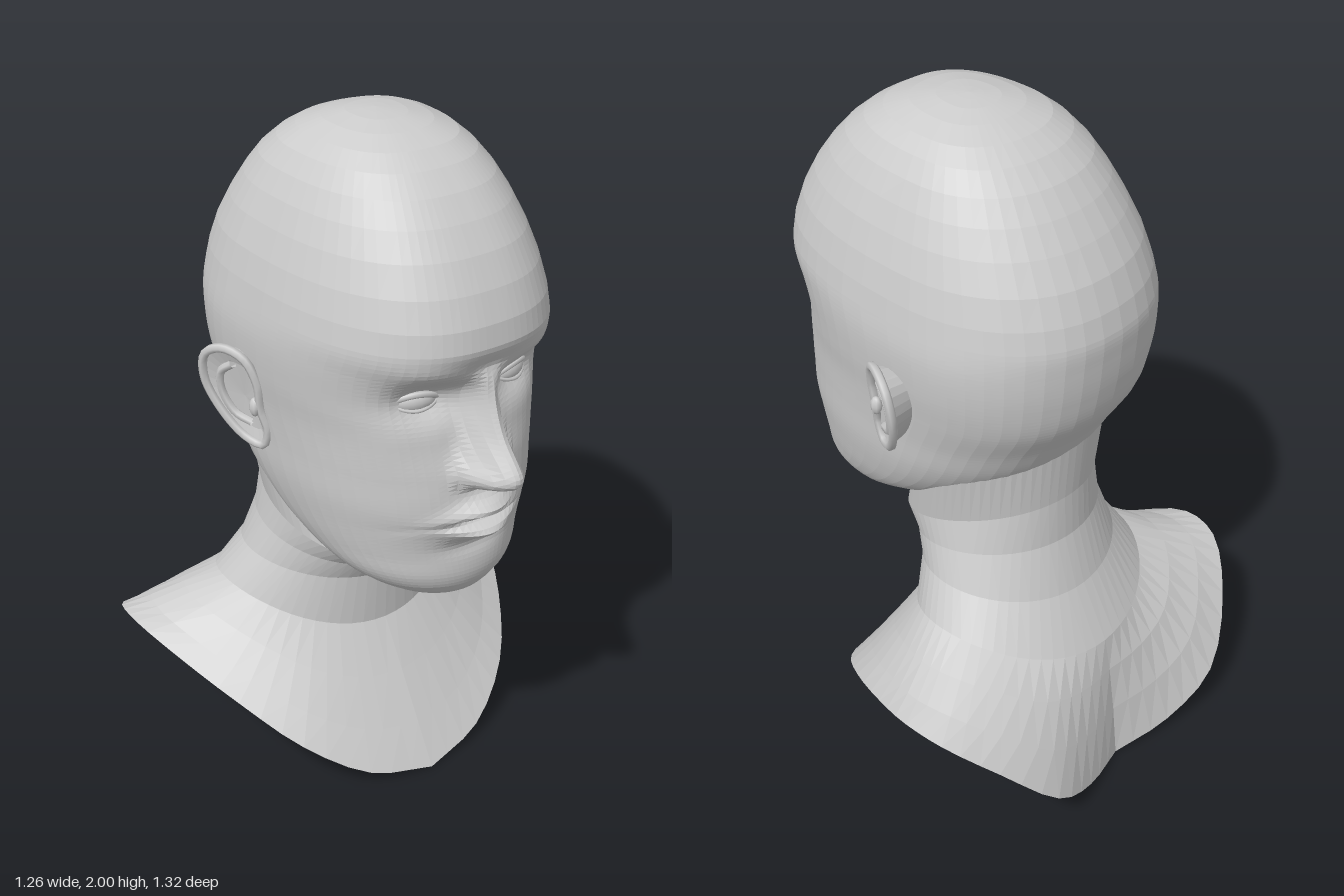
import * as THREE from 'three';

const V = (x, y, z) => new THREE.Vector3(x, y, z);
const bump = (d, s) => Math.exp(-0.5 * (d / s) ** 2);
const spow = (v, p) => Math.sign(v) * Math.abs(v) ** p;

// Skin closed rings of points into a faceted surface
function loft(rings, flip = false) {
  const pos = [];
  const tri = (a, b, c) => {
    if (a.distanceTo(b) < 1e-6 || b.distanceTo(c) < 1e-6 || a.distanceTo(c) < 1e-6) return;
    for (const p of flip ? [a, c, b] : [a, b, c]) pos.push(p.x, p.y, p.z);
  };
  for (let i = 0; i + 1 < rings.length; i++) {
    const n = rings[i].length;
    for (let j = 0; j < n; j++) {
      const k = (j + 1) % n;
      tri(rings[i][j], rings[i + 1][j], rings[i][k]);
      tri(rings[i][k], rings[i + 1][j], rings[i + 1][k]);
    }
  }
  const g = new THREE.BufferGeometry();
  g.setAttribute('position', new THREE.Float32BufferAttribute(pos, 3));
  g.computeVertexNormals();
  return g;
}

// Smooth lookup in a table of rows whose first entry falls
function lookup(rows, y) {
  let i = 0;
  while (i < rows.length - 2 && y < rows[i + 1][0]) i++;
  const a = rows[i], b = rows[i + 1], p = rows[Math.max(i - 1, 0)], q = rows[Math.min(i + 2, rows.length - 1)];
  const h = b[0] - a[0], t = Math.min(1, Math.max(0, (y - a[0]) / h));
  return a.map((v, c) => {
    const m0 = (b[c] - p[c]) / (b[0] - p[0]) * h, m1 = (q[c] - v) / (q[0] - a[0]) * h;
    const t2 = t * t, t3 = t2 * t;
    return (2 * t3 - 3 * t2 + 1) * v + (t3 - 2 * t2 + t) * m0 + (3 * t2 - 2 * t3) * b[c] + (t3 - t2) * m1;
  });
}

// Head sections: y, front z, back z, half width
const HEAD = [
  [2.0, 0.03, 0.01, 0.01], [1.994, 0.11, -0.06, 0.075], [1.98, 0.18, -0.12, 0.135], [1.95, 0.26, -0.2, 0.2],
  [1.88, 0.355, -0.3, 0.265], [1.76, 0.455, -0.4, 0.325], [1.64, 0.52, -0.475, 0.365], [1.52, 0.55, -0.515, 0.388],
  [1.44, 0.515, -0.515, 0.396], [1.34, 0.49, -0.505, 0.39], [1.24, 0.49, -0.48, 0.375], [1.14, 0.51, -0.42, 0.362],
  [1.04, 0.52, -0.36, 0.352], [0.96, 0.51, -0.28, 0.335], [0.88, 0.5, -0.16, 0.308], [0.81, 0.497, -0.02, 0.268],
  [0.76, 0.475, 0.05, 0.215], [0.725, 0.43, 0.09, 0.15], [0.705, 0.3, 0.16, 0.05],
];
// Nose sections: y, projection, half width
const NOSE = [
  [1.46, 0, 0.04], [1.38, 0.052, 0.036], [1.27, 0.1, 0.044], [1.19, 0.155, 0.056],
  [1.155, 0.148, 0.06], [1.13, 0.105, 0.06], [1.11, 0.025, 0.06], [1.095, 0, 0.06],
];

// Forward push of the facial features
function face(x, y) {
  const ax = Math.abs(x);
  let d = 0;
  if (y < 1.46 && y > 1.095) {
    const [, p, w] = lookup(NOSE, y);
    d += Math.max(0, p) * Math.exp(-((ax / w) ** 2.4));
  }
  d += 0.035 * bump(ax - 0.06, 0.018) * bump(y - 1.155, 0.022);   // nostril wings
  d -= 0.055 * bump(ax - 0.14, 0.065) * bump(y - 1.365, 0.045);   // eye sockets
  d += 0.018 * bump(ax - 0.15, 0.09) * bump(y - 1.44 - 0.15 * (ax - 0.1), 0.025); // brows
  d += 0.012 * bump(ax - 0.25, 0.05) * bump(y - 1.24, 0.06);      // cheekbones
  d += 0.048 * bump(x, 0.075) * bump(y - 1.038 + 1.6 * x * x, 0.02);  // upper lip
  d += 0.048 * bump(x, 0.07) * bump(y - 0.966 - 1.0 * x * x, 0.019);  // lower lip
  d -= 0.03 * bump(x, 0.09) * bump(y - 1.002 + 0.4 * x * x, 0.009);   // mouth line
  d -= 0.015 * bump(x, 0.08) * bump(y - 0.91, 0.02);              // hollow above chin
  return d;
}

function headGeometry() {
  const ys = [1.998, 1.994, 1.98, 1.955, 1.92, 1.87, 1.81, 1.74, 1.66, 1.58, 1.52];
  for (let y = 1.505; y > 0.77; y -= 0.0125) ys.push(y);
  ys.push(0.755, 0.738, 0.725, 0.715, 0.705);
  const N = 32;
  const rings = ys.map(y => {
    const [, zf, zb, w] = lookup(HEAD, y);
    const zc = (zf + zb) / 2 - 0.09 * (zf - zb);
    const n = Math.min(2.5, Math.max(2.05, 2.05 + (y - 0.8) * 0.9));
    const ring = [];
    for (let j = -N; j < N; j++) {
      const a = Math.sign(j) * Math.PI * Math.abs(j / N) ** 1.5;
      const c = Math.cos(a), e = 2 / (c > 0 ? n : 2.2);
      const x = w * spow(Math.sin(a), e);
      let z = zc + (c > 0 ? zf - zc : zc - zb) * spow(c, e);
      if (c > 0) z += face(x, y) * Math.min(1, c * 3);
      ring.push(V(x, y, z));
    }
    return ring;
  });
  const last = rings[rings.length - 1];
  rings.unshift(rings[0].map(() => V(0, 2, 0.02)));
  rings.push(last.map(() => V(0, 0.7, 0.23)));
  return loft(rings);
}

// Neck and draped shoulders, closed below by a fan rising to a point
function bustGeometry() {
  const half = new THREE.CatmullRomCurve3([
    [0, 0.003, 0.318], [0.2, 0.05, 0.28], [0.37, 0.16, 0.18], [0.49, 0.275, 0.02], [0.58, 0.368, -0.17],
    [0.63, 0.425, -0.33], [0.613, 0.41, -0.45], [0.51, 0.31, -0.575], [0.354, 0.15, -0.662],
    [0.18, 0.048, -0.638], [0, 0.005, -0.585],
  ].map(p => V(...p)));
  const N = 30, cols = [];
  for (let j = -N; j < N; j++) cols.push(j / N);
  const rim = cols.map(t => {
    const p = half.getPoint(Math.abs(t));
    return V(Math.sign(t) * p.x, p.y, p.z);
  });
  // Neck rings: front y, back y, front z, back z, half width, side lift
  const rings = [
    [0.82, 1.2, 0.12, -0.39, 0.3, 0], [0.69, 0.9, 0.17, -0.372, 0.27, 0.02],
    [0.65, 0.76, 0.115, -0.38, 0.28, 0.03], [0.59, 0.6, 0.08, -0.43, 0.308, 0.045],
    [0.42, 0.43, 0.075, -0.52, 0.37, 0.11],
  ].map(([yf, yb, zf, zb, w, lift]) => cols.map(t => {
    const a = t * Math.PI, s = Math.sin(a), f = (1 + Math.cos(a)) / 2;
    return V(w * s, yb + (yf - yb) * f + lift * s * s, zb + (zf - zb) * f);
  }));
  const base = rings[rings.length - 1];
  for (const k of [0.35, 0.7]) {
    rings.push(base.map((p, j) => {
      const q = p.clone().lerp(rim[j], k), a = cols[j] * Math.PI;
      // Sag towards the shoulder tips, swell over the upper back
      q.y += 0.045 * Math.max(0, -Math.cos(a)) - 0.02 * Math.abs(Math.sin(a));
      return q;
    }));
  }
  rings.push(rim, rim.map(() => V(0, 0.275, -0.22)));
  return loft(rings);
}

// Ear plane: u runs backwards, v up; the top and rear edge stand away from the head
const earPoint = (s, u, v, out = 0) => V(s * (0.37 + 0.5 * (u + 0.03) + 0.15 * (v - 1.24) + out), v, -u);

function makeEar(s, mat) {
  const ear = new THREE.Group();
  ear.name = s > 0 ? 'leftEar' : 'rightEar';
  const add = (name, geo) => {
    const m = new THREE.Mesh(geo, mat);
    m.name = name;
    ear.add(m);
    return m;
  };
  const outline = [[-0.015, 1.3], [0.01, 1.37], [0.065, 1.392], [0.12, 1.362], [0.137, 1.28],
    [0.105, 1.185], [0.05, 1.115], [0.0, 1.1], [-0.022, 1.15], [-0.012, 1.22]];
  const path = new THREE.CatmullRomCurve3(outline.map(([u, v]) => earPoint(s, u, v)), true);
  const edge = path.getPoints(28).slice(0, 28);
  const mid = earPoint(s, 0.045, 1.24, -0.02);
  const inner = edge.map(p => p.clone().lerp(mid, 0.3).add(V(-s * 0.008, 0, 0)));
  const root = edge.map(p => V(s * 0.34, 1.24 + (p.y - 1.24) * 0.8, -0.06 + (p.z + 0.05) * 0.75));
  add('earShell', loft([edge.map(() => mid), inner, edge, root], s > 0));
  add('earRim', new THREE.TubeGeometry(path, 40, 0.013, 6, true));
  const fold = [[0.05, 1.345], [0.09, 1.31], [0.097, 1.25], [0.07, 1.185], [0.025, 1.165]];
  add('earFold', new THREE.TubeGeometry(
    new THREE.CatmullRomCurve3(fold.map(([u, v]) => earPoint(s, u, v, -0.005))), 16, 0.012, 6));
  const flap = add('earFlap', new THREE.SphereGeometry(0.022, 8, 6));
  flap.position.copy(earPoint(s, 0.0, 1.225, 0.004));
  flap.scale.set(0.7, 1.3, 0.8);
  return ear;
}

// Almond eye: flattened ball with a thin lid along its upper and lower edge
function makeEye(s, mat) {
  const eye = new THREE.Group();
  eye.name = s > 0 ? 'leftEye' : 'rightEye';
  const ball = new THREE.Mesh(new THREE.SphereGeometry(1, 18, 12), mat);
  ball.name = 'eyeball';
  ball.scale.set(0.068, 0.04, 0.045);
  eye.add(ball);
  for (const [name, h, r] of [['upperLid', 0.026, 0.009], ['lowerLid', -0.022, 0.006]]) {
    const pts = [-1, -0.5, 0, 0.5, 1].map(t => V(0.07 * t, h * (1 - t * t), 0.014 + 0.026 * (1 - t * t)));
    const lid = new THREE.Mesh(new THREE.TubeGeometry(new THREE.CatmullRomCurve3(pts), 16, r, 6), mat);
    lid.name = name;
    eye.add(lid);
  }
  eye.position.set(s * 0.152, 1.355, 0.395);
  eye.rotation.y = s * 0.3;
  return eye;
}

export function createModel() {
  const model = new THREE.Group();
  model.name = 'headBust';
  const clay = new THREE.MeshStandardMaterial({ color: 0xcccccc, side: THREE.DoubleSide });
  clay.name = 'greyClay';
  for (const [name, geo] of [['head', headGeometry()], ['neckAndShoulders', bustGeometry()]]) {
    const m = new THREE.Mesh(geo, clay);
    m.name = name;
    model.add(m);
  }
  for (const s of [1, -1]) model.add(makeEye(s, clay), makeEar(s, clay));
  return model;
}
